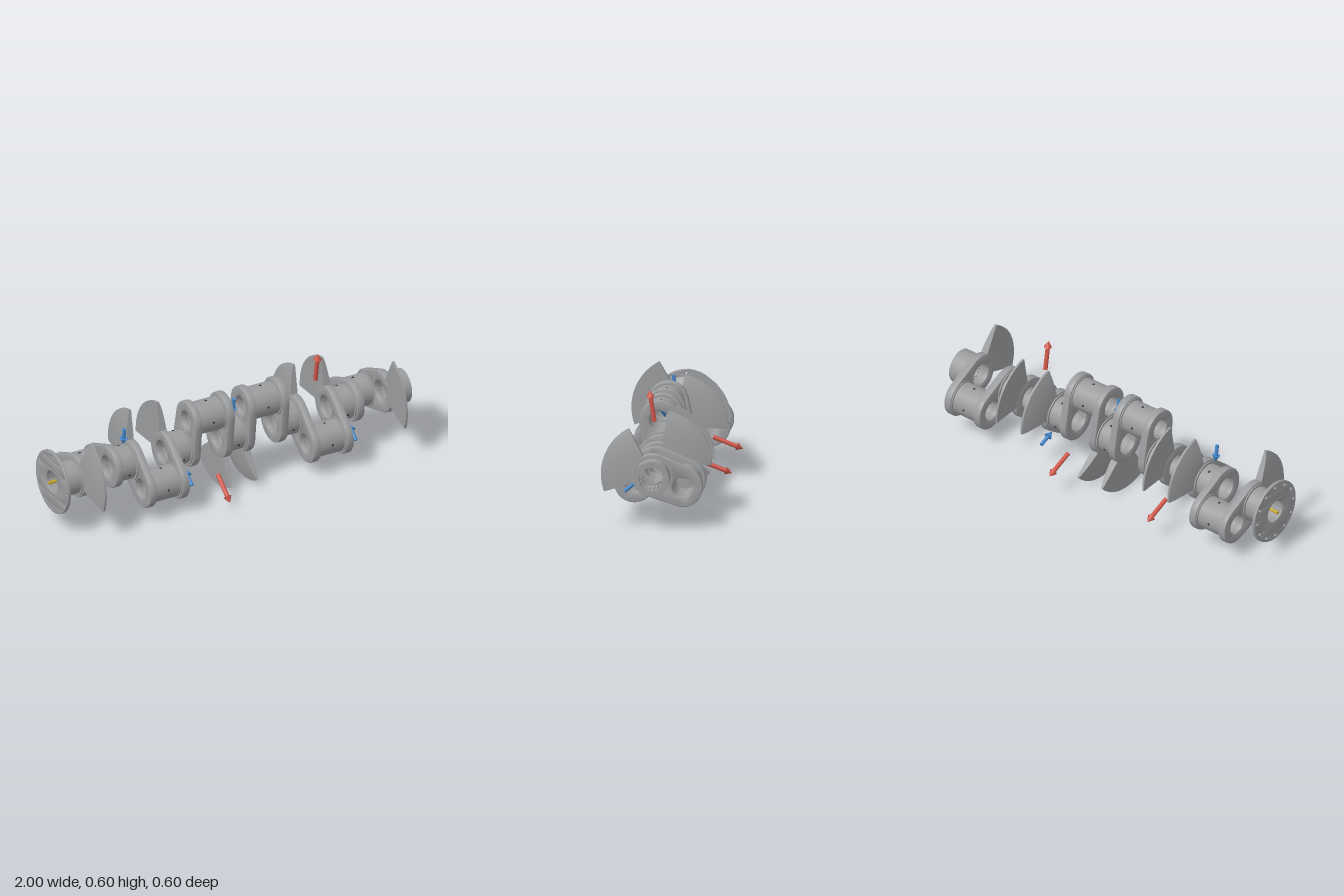
import * as THREE from 'three';
import { toCreasedNormals, mergeGeometries } from 'three/addons/utils/BufferGeometryUtils.js';

const rad = THREE.MathUtils.degToRad;
const material = (name, color, side = THREE.FrontSide) => {
  const m = new THREE.MeshStandardMaterial({ color, side });
  m.name = name;
  return m;
};

// Shared dimensions
const THROW = 0.155, MAIN_R = 0.087, PIN_R = 0.083, BORE = 0.06, PIN_BORE = 0.052;
const PIN_HALF = 0.072, WEB_T = 0.04, SPACING = 0.308, MID = 0.025;
const A = 99, B = -21, C = 219; // throw angles in degrees

export function createModel() {
  const steel = material('steel', 0x9b9c9e, THREE.DoubleSide);
  const dark = material('oil hole dark', 0x3a3a3c);
  const red = material('force red', 0xd0574a);
  const blue = material('reaction blue', 0x4487cc);
  const gold = material('axis gold', 0xc4a62c);

  // The shaft runs along local z, which becomes world x
  const model = new THREE.Group();
  model.name = 'crankshaft';
  const crank = new THREE.Group();
  crank.name = 'shaftAssembly';
  crank.rotation.y = Math.PI / 2;
  crank.position.set(0, 0.262, 0.03);
  model.add(crank);

  const add = (parent, name, geo, mat) => {
    const mesh = new THREE.Mesh(geo, mat);
    mesh.name = name;
    parent.add(mesh);
    return mesh;
  };

  // Revolve a closed (radius, z) profile about the z axis
  const revolve = (profile, segs = 48, start = 0, length = Math.PI * 2) => {
    const pts = [...profile, profile[0]].map(p => new THREE.Vector2(p[0], p[1]));
    const geo = new THREE.LatheGeometry(pts, segs, start, length);
    geo.rotateX(Math.PI / 2);
    return toCreasedNormals(geo, 0.5);
  };
  const tube = (ri, ro, z0, z1) => revolve([[ri, z0], [ro, z0], [ro, z1], [ri, z1]]);

  // Extruded plate with softened edges, from z = 0 to z = depth
  const plate = (shape, depth, bevel) => {
    const geo = new THREE.ExtrudeGeometry(shape, {
      depth: depth - 2 * bevel, bevelEnabled: true, bevelSize: bevel, bevelThickness: bevel,
      bevelOffset: -bevel, bevelSegments: 2, curveSegments: 40,
    });
    geo.translate(0, 0, bevel);
    return toCreasedNormals(geo, 0.6);
  };
  const circleHole = (x, y, r) => new THREE.Path().absarc(x, y, r, 0, Math.PI * 2, true);

  // Crank web: tangent hull of hub and pin circles, with both bores
  const HUB_R = 0.108, END_R = 0.1;
  const tilt = Math.asin((HUB_R - END_R) / THROW);
  const webShape = new THREE.Shape();
  webShape.absarc(0, THROW, END_R, tilt, Math.PI - tilt, false);
  webShape.absarc(0, 0, HUB_R, Math.PI - tilt, Math.PI * 2 + tilt, false);
  webShape.closePath();
  webShape.holes.push(circleHole(0, 0, BORE - 0.003), circleHole(0, THROW, PIN_BORE - 0.003));
  const webGeo = plate(webShape, WEB_T, 0.006);

  // Counterweight: a sector, flat on the pin side and tapering on the other
  const HALF = rad(41);
  const section = [[0.085, 0.001], [0.26, 0.001], [0.26, 0.012], [0.225, 0.023], [0.18, 0.031], [0.12, 0.039], [0.085, 0.039]];
  const endCap = phi => {
    const geo = new THREE.ShapeGeometry(new THREE.Shape(section.map(p => new THREE.Vector2(p[0], p[1]))));
    geo.rotateY(phi - Math.PI / 2);
    geo.rotateX(Math.PI / 2);
    return geo.toNonIndexed();
  };
  const weightGeo = mergeGeometries([revolve(section, 28, -HALF, 2 * HALF), endCap(-HALF), endCap(HALF)]);

  // Small dark oil holes set around a journal
  const holeGeo = new THREE.CylinderGeometry(0.006, 0.006, 0.004, 12);
  const oilHoles = (parent, r, y, z, angles) => angles.forEach(deg => {
    const a = rad(deg);
    const hole = add(parent, 'oilHole', holeGeo, dark);
    hole.position.set(Math.cos(a) * r, y + Math.sin(a) * r, z);
    hole.rotation.z = a - Math.PI / 2;
  });

  // Six throws; weights lists the sides (-1, +1) carrying a counterweight
  const pinGeo = tube(PIN_BORE, PIN_R, -PIN_HALF - 0.004, PIN_HALF + 0.004);
  const pinCollarGeo = tube(PIN_BORE, 0.091, PIN_HALF - 0.005, PIN_HALF + 0.004);
  const throws = [[B, [-1]], [C, [-1, 1]], [A, [1]], [A, [-1]], [C, [-1, 1]], [B, [1]]];
  const centre = i => MID + SPACING * (i - 2.5);
  throws.forEach(([angle, weights], i) => {
    const group = new THREE.Group();
    group.name = `crankThrow${i + 1}`;
    group.position.z = centre(i);
    group.rotation.z = rad(angle - 90);
    crank.add(group);
    add(group, 'crankPin', pinGeo, steel).position.y = THROW;
    oilHoles(group, PIN_R, THROW, 0, [90, 180, 270, 360].map(d => d - angle + 90));
    for (const side of [-1, 1]) {
      const half = new THREE.Group();
      half.name = side < 0 ? 'rearCheek' : 'frontCheek';
      half.rotation.y = side < 0 ? Math.PI : 0;
      group.add(half);
      add(half, 'crankWeb', webGeo, steel).position.z = PIN_HALF;
      add(half, 'pinCollar', pinCollarGeo, steel).position.y = THROW;
      if (weights.includes(side)) add(half, 'counterweight', weightGeo, steel).position.z = PIN_HALF;
    }
  });

  // Seven hollow main journals, with thrust collars beside the webs
  const reach = PIN_HALF + WEB_T;
  for (let i = 0; i <= 6; i++) {
    const z0 = i === 0 ? -0.966 : centre(i - 1) + reach - 0.004;
    const z1 = i === 6 ? 1 : centre(i) - reach + 0.004;
    add(crank, `mainJournal${i + 1}`, tube(BORE, MAIN_R, z0, z1), steel);
    if (i > 0) add(crank, 'thrustCollar', tube(BORE, 0.098, z0, z0 + 0.01), steel);
    if (i < 6) add(crank, 'thrustCollar', tube(BORE, 0.098, z1 - 0.01, z1), steel);
    if (i > 0 && i < 6) oilHoles(crank, MAIN_R, 0, (z0 + z1) / 2, [70, 200, 270, 340]);
  }

  // Drive flange with a ring of bolt holes and a flared neck
  const flangeShape = new THREE.Shape().absarc(0, 0, 0.163, 0, Math.PI * 2, false);
  flangeShape.holes.push(circleHole(0, 0, BORE - 0.002));
  for (let i = 0; i < 12; i++) {
    const a = (i / 12) * Math.PI * 2;
    flangeShape.holes.push(circleHole(Math.cos(a) * 0.142, Math.sin(a) * 0.142, 0.007));
  }
  add(crank, 'driveFlange', plate(flangeShape, 0.017, 0.002), steel).position.z = -0.982;
  add(crank, 'flangeNeck', revolve([[BORE, -0.967], [0.132, -0.967], [0.115, -0.957], [0.102, -0.945], [MAIN_R, -0.935], [BORE, -0.935]]), steel);

  // Internal spline teeth in the nose
  const toothGeo = new THREE.BoxGeometry(0.012, 0.008, 0.06);
  for (let i = 0; i < 18; i++) {
    const a = (i / 18) * Math.PI * 2;
    const tooth = add(crank, 'splineTooth', toothGeo, steel);
    tooth.position.set(Math.cos(a) * 0.058, Math.sin(a) * 0.058, 0.95);
    tooth.rotation.z = a;
  }

  // Arrows: built along +y from the tail
  const arrow = (name, mat, length, shaftR, headR, headLen) => {
    const group = new THREE.Group();
    group.name = name;
    const shaftLen = length - headLen;
    add(group, 'arrowShaft', new THREE.CylinderGeometry(shaftR, shaftR, shaftLen, 20), mat).position.y = shaftLen / 2;
    add(group, 'arrowHead', new THREE.ConeGeometry(headR, headLen, 24), mat).position.y = length - headLen / 2;
    crank.add(group);
    return group;
  };
  const radialArrow = (name, mat, z, deg, tail, tip, shaftR) => {
    const a = rad(deg);
    const g = arrow(name, mat, Math.abs(tip - tail), shaftR, 0.02, 0.034);
    g.position.set(Math.cos(a) * tail, Math.sin(a) * tail, z);
    g.rotation.z = a - Math.PI / 2 + (tip < tail ? Math.PI : 0);
  };
  [[1, B], [2, C], [3, B], [4, A]].forEach(([i, deg]) =>
    radialArrow('forceArrow', red, centre(i), deg, 0.19, 0.349, 0.011));
  [[0, A], [1, C], [2, A], [3, B], [4, C]].forEach(([i, deg]) =>
    radialArrow('bearingArrow', blue, centre(i) + SPACING / 2, deg, 0.21, 0.119, 0.009));
  const axis = arrow('axisArrow', gold, 0.12, 0.008, 0.018, 0.034);
  axis.position.z = -1;
  axis.rotation.x = Math.PI / 2;

  return model;
}
